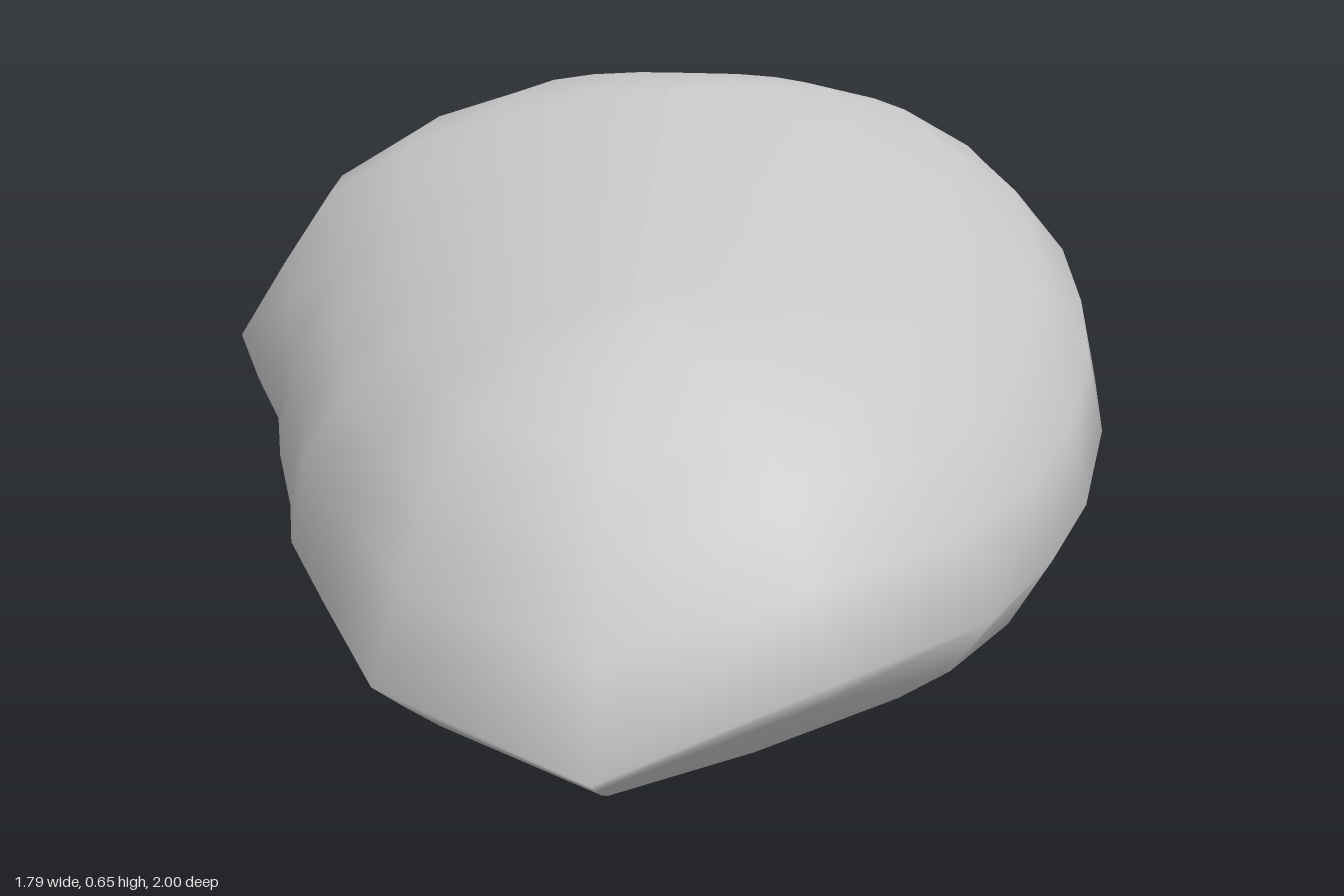
import * as THREE from 'three';

// Widest edge of the pebble, counterclockwise from above: [x, y, z]
const RIM = [
  [-0.9, 0.21, 0.56], [-0.81, 0.18, 0.89], [-0.52, 0.27, 1], [-0.19, 0.23, 0.92], [0.03, 0.22, 0.81],
  [0.23, 0.21, 0.68], [0.45, 0.22, 0.5], [0.6, 0.23, 0.34], [0.74, 0.25, 0.16], [0.83, 0.26, -0.02],
  [0.88, 0.27, -0.12], [0.89, 0.28, -0.25], [0.86, 0.27, -0.4], [0.78, 0.26, -0.54], [0.65, 0.24, -0.69],
  [0.51, 0.22, -0.84], [0.35, 0.19, -0.95], [0.18, 0.16, -1], [-0.07, 0.18, -0.97], [-0.24, 0.2, -0.84],
  [-0.35, 0.22, -0.71], [-0.44, 0.22, -0.5], [-0.51, 0.22, -0.32], [-0.59, 0.22, -0.18], [-0.68, 0.22, 0],
  [-0.75, 0.22, 0.12], [-0.81, 0.21, 0.3],
].map((p) => new THREE.Vector3(...p));

// Crest of the top, which the rings shrink towards
const CREST = new THREE.Line3(new THREE.Vector3(-0.45, 0.605, 0.5), new THREE.Vector3(0.2, 0.65, -0.25));

// Cross-sections from rim to crest: [distance from crest, share of the height]
const TOP_ROUND = [[1, 0], [0.96, 0.31], [0.84, 0.56], [0.65, 0.77], [0.42, 0.91], [0.18, 0.985], [0, 1]];
const TOP_SHARP = [[1, 0], [0.89, 0.3], [0.78, 0.58], [0.6, 0.77], [0.38, 0.91], [0.16, 0.985], [0, 1]];
const BASE_ROUND = [[1, 0], [0.9, 0.43], [0.75, 0.65], [0.55, 0.82], [0.35, 0.94], [0.15, 0.99], [0, 1]];
const BASE_SHARP = [[1, 0], [0.88, 0.22], [0.76, 0.43], [0.62, 0.65], [0.45, 0.83], [0.2, 0.97], [0, 1]];
const LAST = TOP_ROUND.length - 1;

// Point on ring j: negative on the underside, 0 on the rim, positive on top
function surfacePoint(rim, j) {
  const { x, z } = rim;
  const crest = CREST.closestPointToPoint(rim, true, new THREE.Vector3());
  // The front right and back right ends are pointed, the rest is blunt
  const sharp = Math.max(THREE.MathUtils.smoothstep(z - x, 0.8, 1.5), THREE.MathUtils.smoothstep(-x - z, 0.75, 1.05));
  const k = Math.abs(j);
  const round = (j > 0 ? TOP_ROUND : BASE_ROUND)[k];
  const point = (j > 0 ? TOP_SHARP : BASE_SHARP)[k];
  const s = THREE.MathUtils.lerp(round[0], point[0], sharp);
  const h = THREE.MathUtils.lerp(round[1], point[1], sharp);
  const p = crest.clone().lerp(rim, s);
  // The underside lifts slightly towards the left
  const end = j > 0 ? crest.y : 0.07 * Math.max(0, p.x) ** 2;
  p.y = THREE.MathUtils.lerp(rim.y, end, h);
  return p;
}

export function createModel() {
  const positions = [];
  const indices = [];
  const n = RIM.length;
  // Rings from the underside up to the crest
  for (let j = -LAST; j <= LAST; j++) {
    for (const rim of RIM) positions.push(...surfacePoint(rim, j).toArray());
  }
  for (let j = 0; j < 2 * LAST; j++) {
    for (let i = 0; i < n; i++) {
      const a = j * n + i;
      const b = j * n + (i + 1) % n;
      indices.push(a, b, b + n, a, b + n, a + n);
    }
  }
  const geometry = new THREE.BufferGeometry();
  geometry.setAttribute('position', new THREE.Float32BufferAttribute(positions, 3));
  geometry.setIndex(indices);
  geometry.computeVertexNormals();

  const pebble = new THREE.Mesh(geometry, new THREE.MeshStandardMaterial({ color: 0xcccccc }));
  pebble.name = 'pebble';
  const group = new THREE.Group();
  group.name = 'stone';
  group.add(pebble);
  return group;
}
